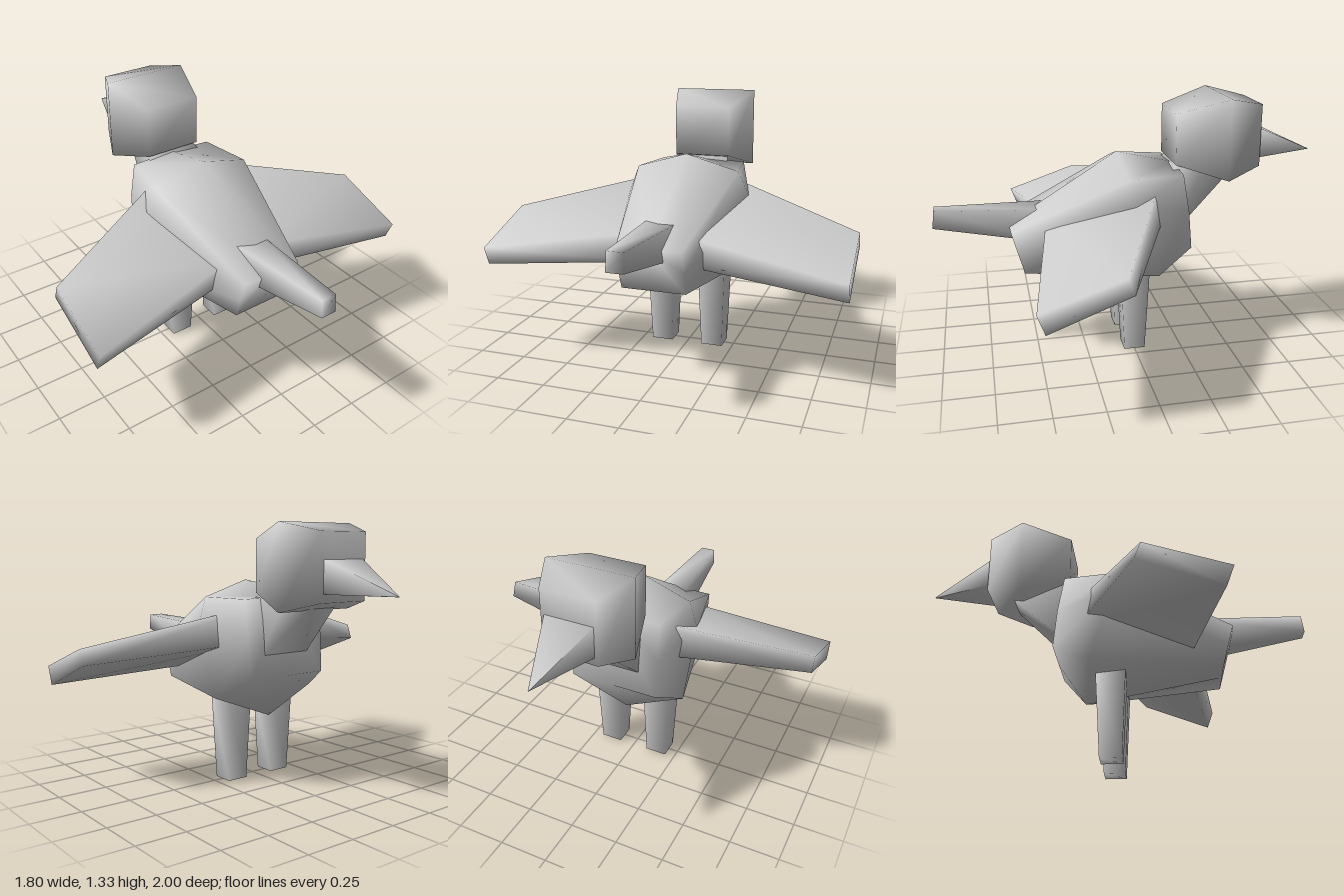
import * as THREE from 'three';

// Closed skin over a list of rings; every ring holds the same number of [x, y, z] points.
function loft(rings) {
  const n = rings[0].length;
  const points = rings.flat().map((p) => new THREE.Vector3(...p));
  const last = (rings.length - 1) * n;
  const index = [];
  for (let r = 0; r < rings.length - 1; r++) {
    for (let j = 0; j < n; j++) {
      const a = r * n + j, b = r * n + (j + 1) % n;
      index.push(a, b, b + n, a, b + n, a + n);
    }
  }
  for (let j = 1; j < n - 1; j++) {
    index.push(0, j + 1, j, last, last + j, last + j + 1);
  }
  // Turn the faces outward when the enclosed volume is negative
  let volume = 0;
  const cross = new THREE.Vector3();
  for (let i = 0; i < index.length; i += 3) {
    cross.crossVectors(points[index[i + 1]], points[index[i + 2]]);
    volume += points[index[i]].dot(cross);
  }
  if (volume < 0) index.reverse();
  const geometry = new THREE.BufferGeometry().setFromPoints(points);
  geometry.setIndex(index);
  geometry.computeVertexNormals();
  return geometry;
}

// Four-cornered ring, symmetric in x, with separate top and bottom edges
function rect(halfWidth, [topY, topZ], [bottomY, bottomZ]) {
  return [
    [halfWidth, topY, topZ], [-halfWidth, topY, topZ],
    [-halfWidth, bottomY, bottomZ], [halfWidth, bottomY, bottomZ],
  ];
}

// Eight-cornered ring from five points running down the +x side
function mirrored(half) {
  return [...half, ...half.slice(1, -1).reverse().map(([x, y, z]) => [-x, y, z])];
}

export function createModel() {
  const group = new THREE.Group();
  const material = new THREE.MeshStandardMaterial({ color: 0xcccccc });
  const add = (name, rings) => {
    const mesh = new THREE.Mesh(loft(rings), material);
    mesh.name = name;
    group.add(mesh);
  };

  // Body: chest, widest section, rump
  add('body', [
    mirrored([[0, 0.97, -0.24], [0.23, 0.96, -0.24], [0.24, 0.77, -0.27], [0.23, 0.57, -0.29], [0, 0.57, -0.29]]),
    mirrored([[0, 1.04, 0.06], [0.27, 0.96, 0.04], [0.325, 0.83, 0.02], [0.31, 0.46, -0.1], [0, 0.34, -0.14]]),
    mirrored([[0, 0.69, 0.625], [0.16, 0.69, 0.62], [0.165, 0.58, 0.59], [0.16, 0.47, 0.56], [0, 0.47, 0.56]]),
  ]);

  // Neck leaning forward into the head
  add('neck', [
    rect(0.15, [0.96, -0.2], [0.63, -0.22]),
    rect(0.075, [1.1, -0.45], [0.95, -0.56]),
  ]);

  add('head', [
    rect(0.15, [1.25, -0.22], [0.99, -0.22]),
    rect(0.225, [1.325, -0.48], [0.91, -0.48]),
    rect(0.14, [1.28, -0.67], [0.96, -0.67]),
  ]);

  add('beak', [
    rect(0.125, [1.157, -0.665], [1.0, -0.665]),
    rect(0.002, [1.002, -1], [1.0, -1]),
  ]);

  add('tail', [
    rect(0.08, [0.775, 0.42], [0.6, 0.44]),
    rect(0.04, [0.79, 0.99], [0.7, 1]),
  ]);

  for (const s of [1, -1]) {
    const side = s > 0 ? 'left' : 'right';

    // Wing: leading edge high, trailing edge low, swept back to the tip
    add(side + 'Wing', [
      [[0.1, 0.92, -0.16], [0.1, 0.74, -0.19], [0.1, 0.555, 0.4], [0.1, 0.715, 0.44]],
      [[0.9, 0.73, 0.18], [0.9, 0.65, 0.15], [0.9, 0.505, 0.53], [0.9, 0.6, 0.565]],
    ].map((ring) => ring.map(([x, y, z]) => [s * x, y, z])));

    // Leg: tapering to the ground
    add(side + 'Leg', [[0.057, 0.055, 0], [0.072, 0.075, 0.44]].map(([w, d, y]) =>
      [[w, d], [-w, d], [-w, -d], [w, -d]].map(([x, z]) => [s * 0.14 + x, y, z])));
  }
  return group;
}
